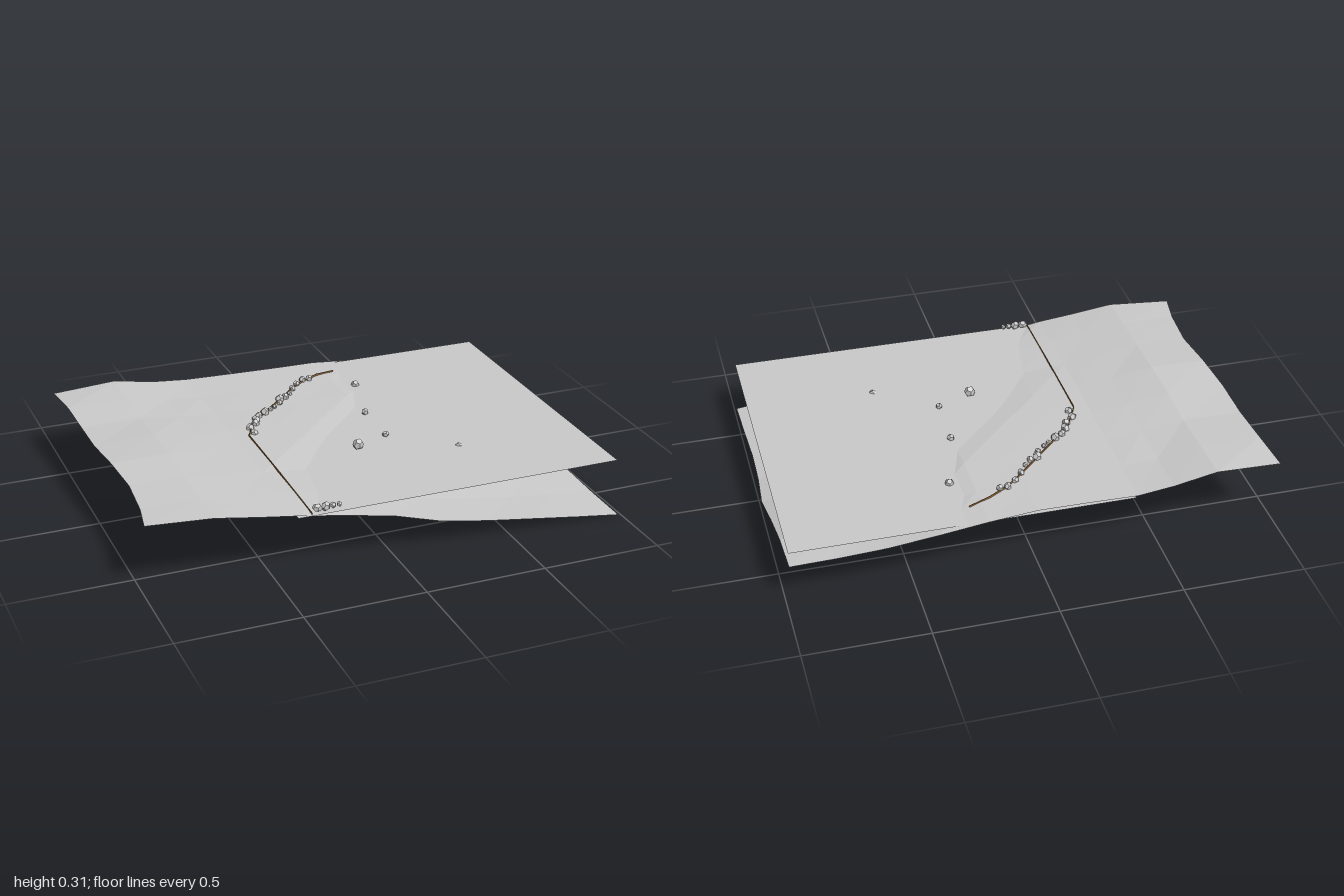
import * as THREE from 'three';

const grey = new THREE.MeshStandardMaterial({ color: 0xcccccc, flatShading: true, side: THREE.DoubleSide });
const fenceMat = new THREE.MeshStandardMaterial({ color: 0x9a6a3a });

// Ground heights: one row per z (back to front), one column per x (left to right)
const XS = [-0.98, -0.73, -0.55, -0.4, -0.2, 0, 0.2, 0.4, 0.6, 0.8, 0.98];
const ZS = [-0.69, -0.5, -0.3, -0.1, 0.1, 0.3, 0.5, 0.69];
const H = [
  [0.295, 0.308, 0.275, 0.260, 0.258, 0.256, 0.248, 0.228, 0.200, 0.180, 0.175],
  [0.302, 0.305, 0.270, 0.258, 0.256, 0.255, 0.248, 0.215, 0.190, 0.175, 0.165],
  [0.295, 0.298, 0.275, 0.258, 0.255, 0.253, 0.249, 0.195, 0.160, 0.135, 0.115],
  [0.300, 0.308, 0.280, 0.260, 0.255, 0.250, 0.232, 0.160, 0.120, 0.090, 0.065],
  [0.308, 0.312, 0.280, 0.260, 0.253, 0.232, 0.170, 0.120, 0.090, 0.060, 0.037],
  [0.300, 0.305, 0.280, 0.258, 0.238, 0.200, 0.140, 0.100, 0.070, 0.040, 0.020],
  [0.297, 0.300, 0.275, 0.257, 0.234, 0.185, 0.120, 0.085, 0.055, 0.030, 0.007],
  [0.297, 0.297, 0.270, 0.250, 0.215, 0.175, 0.115, 0.080, 0.053, 0.025, 0.000],
];
// Wavy outline of the ground
const LEFT = [-1, -0.985, -0.98, -0.98, -0.965, -0.95, -0.965, -0.99];
const RIGHT = [0.98, 0.985, 0.99, 1, 0.985, 0.98, 0.985, 0.99];
const BACK = [-0.69, -0.697, -0.7, -0.705, -0.697, -0.692, -0.705, -0.712, -0.705, -0.692, -0.69];
const FRONT = [0.64, 0.675, 0.682, 0.688, 0.69, 0.692, 0.694, 0.697, 0.703, 0.707, 0.71];

function seeded(seed) {
  return () => ((seed = (seed * 16807) % 2147483647) / 2147483647);
}

function heightAt(x, z) {
  const cell = (list, v) => {
    let i = 0;
    while (i < list.length - 2 && v > list[i + 1]) i++;
    return [i, THREE.MathUtils.clamp((v - list[i]) / (list[i + 1] - list[i]), 0, 1)];
  };
  const [i, u] = cell(XS, x), [j, v] = cell(ZS, z);
  const lerp = THREE.MathUtils.lerp;
  return lerp(lerp(H[j][i], H[j][i + 1], u), lerp(H[j + 1][i], H[j + 1][i + 1], u), v);
}

function makeGround() {
  const pos = [], index = [], nx = XS.length, nz = ZS.length;
  for (let j = 0; j < nz; j++) for (let i = 0; i < nx; i++) {
    const x = i === 0 ? LEFT[j] : i === nx - 1 ? RIGHT[j] : XS[i];
    const z = j === 0 ? BACK[i] : j === nz - 1 ? FRONT[i] : ZS[j];
    pos.push(x, H[j][i], z);
    if (i < nx - 1 && j < nz - 1) {
      const a = j * nx + i, b = a + 1, c = a + nx, d = c + 1;
      index.push(a, c, b, b, c, d);
    }
  }
  const g = new THREE.BufferGeometry();
  g.setAttribute('position', new THREE.Float32BufferAttribute(pos, 3));
  g.setIndex(index);
  g.computeVertexNormals();
  return new THREE.Mesh(g, grey);
}

// Upright, slightly irregular low-poly stone
function makeRock(x, y, z, r, rand) {
  const rock = new THREE.Mesh(new THREE.DodecahedronGeometry(1, 0), grey);
  rock.name = 'rock';
  rock.scale.set(r * (0.85 + 0.3 * rand()), r * (0.95 + 0.3 * rand()), r * (0.85 + 0.3 * rand()));
  rock.rotation.y = rand() * 6.28;
  rock.position.set(x, y, z);
  return rock;
}

export function createModel() {
  const model = new THREE.Group();
  const rand = seeded(77);

  const ground = makeGround();
  ground.name = 'ground';
  model.add(ground);

  // Flat water sheet, partly buried by the shore
  const water = new THREE.Mesh(new THREE.PlaneGeometry(1.38, 1.38).rotateX(-Math.PI / 2), grey);
  water.name = 'water';
  water.position.set(0.29, 0.24, 0);
  model.add(water);

  // Thin low barrier following the beach
  const path = [[-0.34, 0.68], [-0.34, 0.32], [-0.34, -0.04], [-0.28, -0.16], [-0.19, -0.25],
    [-0.08, -0.36], [0.01, -0.45], [0.08, -0.51], [0.16, -0.555], [0.25, -0.585]];
  const barrier = new THREE.Group();
  barrier.name = 'shoreBarrier';
  for (let i = 0; i < path.length - 1; i++) {
    const [a, b] = [path[i], path[i + 1]].map(([x, z]) => new THREE.Vector3(x, heightAt(x, z) + 0.002, z));
    const board = new THREE.Mesh(new THREE.BoxGeometry(0.003, 0.012, a.distanceTo(b)), fenceMat);
    board.name = 'barrierBoard';
    board.position.copy(a).lerp(b, 0.5);
    board.lookAt(b);
    barrier.add(board);
  }
  model.add(barrier);

  // Stones lined up along the shore: x, z, radius
  const shoreRocks = new THREE.Group();
  shoreRocks.name = 'shoreRocks';
  [[-0.31, -0.06, 0.019], [-0.31, -0.11, 0.019], [-0.275, -0.145, 0.018], [-0.26, -0.18, 0.019],
    [-0.235, -0.215, 0.016], [-0.2, -0.237, 0.02], [-0.165, -0.262, 0.012], [-0.14, -0.28, 0.011],
    [-0.105, -0.31, 0.013], [-0.092, -0.347, 0.021], [-0.06, -0.362, 0.017], [-0.03, -0.39, 0.011],
    [0, -0.435, 0.015], [0.035, -0.478, 0.015], [0.075, -0.512, 0.017], [0.108, -0.515, 0.014],
    [-0.315, 0.668, 0.018], [-0.28, 0.668, 0.017], [-0.25, 0.668, 0.012], [-0.225, 0.668, 0.01],
  ].forEach(([x, z, r]) => shoreRocks.add(makeRock(x, 0.26, z, r, rand)));
  model.add(shoreRocks);

  // Scattered stones in the water: x, y, z, radius
  const waterRocks = new THREE.Group();
  waterRocks.name = 'waterRocks';
  [[0.05, 0.257, 0.195, 0.022], [0.2, 0.25, 0.13, 0.013], [0.208, 0.25, -0.11, 0.014],
    [0.445, 0.231, 0.32, 0.018], [0.287, 0.243, -0.41, 0.017], [0.56, 0.212, 0.44, 0.012],
    [0.79, 0.188, 0.34, 0.012], [0.79, 0.19, -0.39, 0.012], [0.42, 0.225, -0.29, 0.014],
  ].forEach(([x, y, z, r]) => waterRocks.add(makeRock(x, y, z, r, rand)));
  model.add(waterRocks);

  return model;
}
